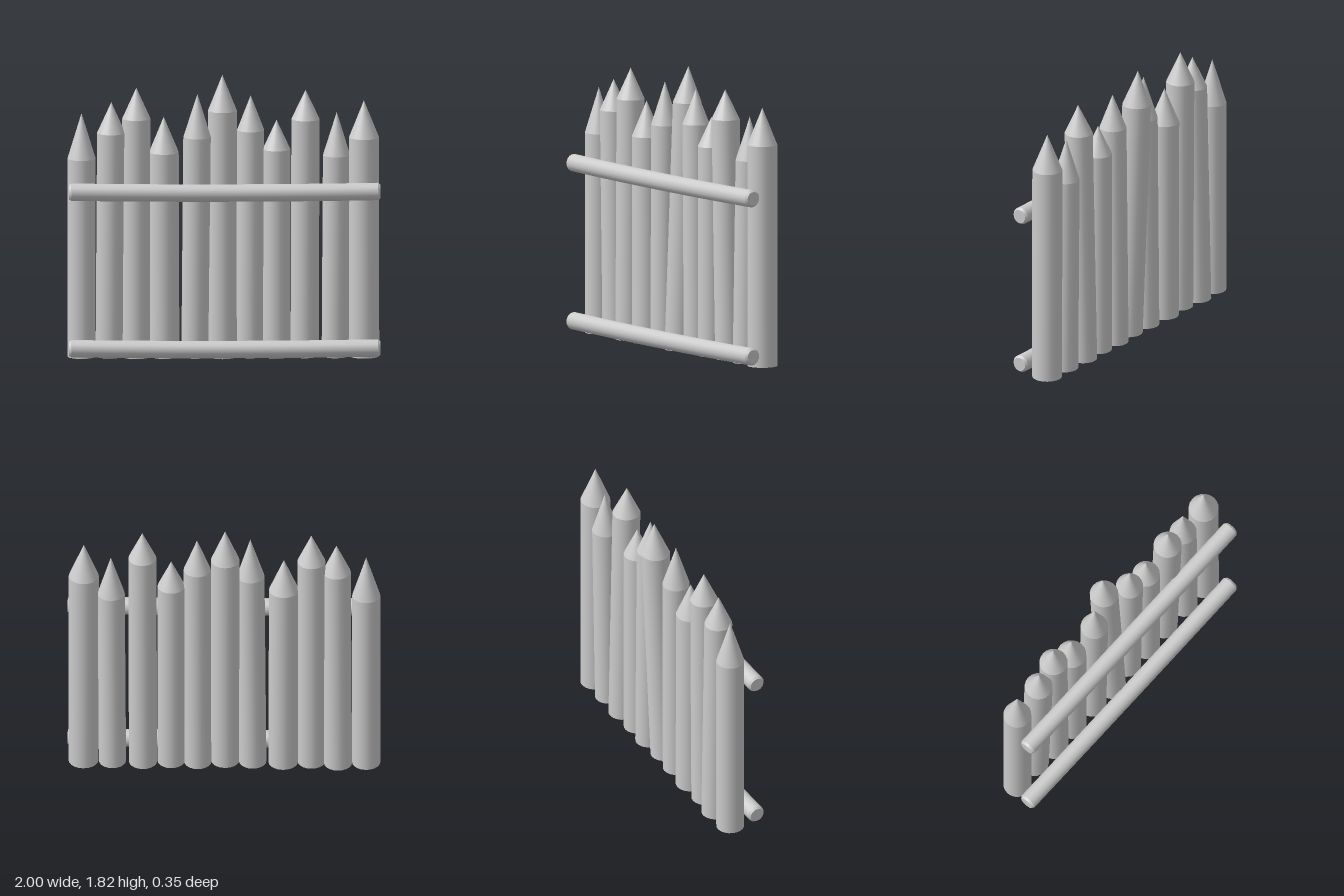
import * as THREE from 'three';

const SIDES = 20;
const wood = new THREE.MeshStandardMaterial({ color: 0xcccccc });

// base x, base z, tip x, tip z, shoulder height, tip height, radius
const STAKES = [
  [-0.91, -0.03, -0.91, -0.03, 1.29, 1.585, 0.09],
  [-0.73, -0.04, -0.72, -0.01, 1.46, 1.66, 0.09],
  [-0.56, -0.02, -0.56, -0.03, 1.55, 1.75, 0.09],
  [-0.38, -0.03, -0.385, -0.03, 1.33, 1.56, 0.095],
  [-0.185, -0.025, -0.17, -0.02, 1.43, 1.71, 0.088],
  [-0.01, -0.015, -0.01, -0.09, 1.59, 1.82, 0.092],
  [0.165, -0.035, 0.17, -0.02, 1.475, 1.70, 0.087],
  [0.335, -0.025, 0.335, -0.025, 1.35, 1.54, 0.088],
  [0.515, -0.035, 0.52, 0.0, 1.55, 1.74, 0.09],
  [0.71, -0.03, 0.72, -0.05, 1.305, 1.585, 0.087],
  [0.895, -0.025, 0.893, -0.025, 1.425, 1.665, 0.096],
];

// Moves every vertex by a rule
function deform(geometry, rule) {
  const p = geometry.attributes.position;
  const v = new THREE.Vector3();
  for (let i = 0; i < p.count; i++) {
    rule(v.fromBufferAttribute(p, i));
    p.setXYZ(i, v.x, v.y, v.z);
  }
  return geometry;
}

function addMesh(parent, name, geometry) {
  const mesh = new THREE.Mesh(geometry, wood);
  mesh.name = name;
  parent.add(mesh);
}

// Round post with a sharpened point, leaning from base to tip
function makeStake([bx, bz, tx, tz, shoulder, tip, r]) {
  const stake = new THREE.Group();
  stake.name = 'stake';
  const lean = (v) => {
    const t = v.y / tip;
    v.x += bx + (tx - bx) * t;
    v.z += bz + (tz - bz) * t;
  };
  const post = new THREE.CylinderGeometry(r, r, shoulder, SIDES).translate(0, shoulder / 2, 0);
  const point = new THREE.ConeGeometry(r, tip - shoulder, SIDES, 4, true)
    .translate(0, (shoulder + tip) / 2, 0);
  addMesh(stake, 'post', deform(post, lean));
  addMesh(stake, 'point', deform(point, lean));
  return stake;
}

// Horizontal log with a slight sag and bevelled ends
function makeRail(y) {
  const rail = new THREE.Group();
  rail.name = 'rail';
  const r = 0.056, half = 0.98, bevel = 0.015;
  const log = new THREE.CylinderGeometry(r, r, half * 2, SIDES, 8, true).rotateZ(-Math.PI / 2);
  addMesh(rail, 'log', deform(log, (v) => { v.y -= 0.008 * (1 - (v.x / half) ** 2); }));
  for (const s of [-1, 1]) {
    const end = new THREE.CylinderGeometry(r * 0.8, r, bevel, SIDES)
      .rotateZ(-s * Math.PI / 2).translate(s * (half + bevel / 2), 0, 0);
    addMesh(rail, 'railEnd', end);
  }
  rail.position.set(0.002, y, 0.12);
  return rail;
}

export function createModel() {
  const fence = new THREE.Group();
  fence.name = 'palisadeFence';
  for (const s of STAKES) fence.add(makeStake(s));
  for (const y of [0.08, 1.1]) fence.add(makeRail(y));
  return fence;
}
